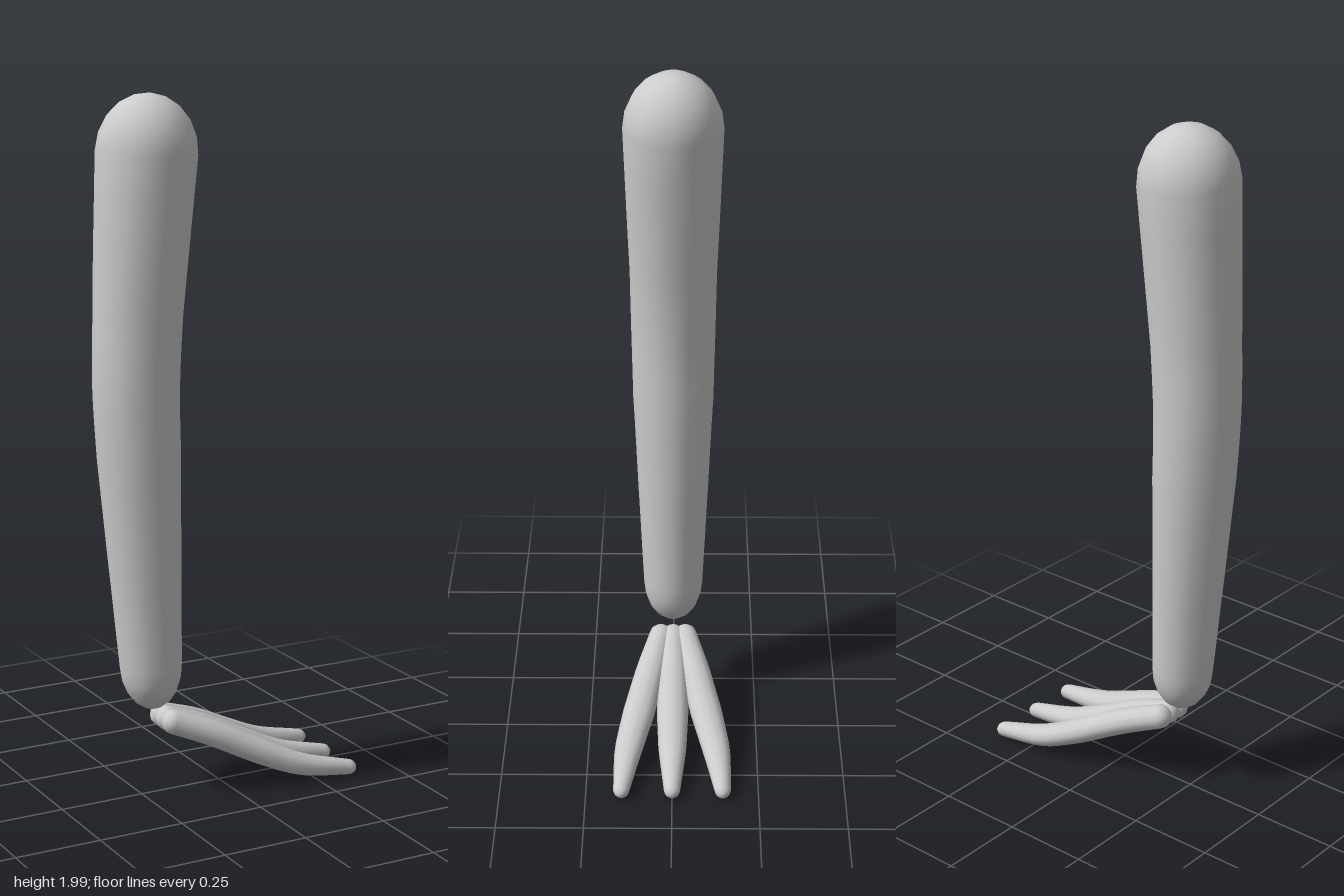
import * as THREE from 'three';
import { mergeVertices } from 'three/addons/utils/BufferGeometryUtils.js';

const material = new THREE.MeshStandardMaterial({ color: 0xcccccc });
const CAP_STEPS = 5;

// Smooth limb with rounded ends. Each station is [x, y, z, radius across, radius through].
function limb(name, stations, sides, steps, capStart, capEnd) {
  const centres = stations.map(([x, y, z]) => new THREE.Vector3(x, y, z));
  const curve = new THREE.CatmullRomCurve3(centres, false, 'centripetal');
  const last = stations.length - 1;
  const rings = [];

  const addRing = (t, shift, scale) => {
    const i = Math.min(Math.floor(t * last), last - 1);
    const f = t * last - i;
    const across = THREE.MathUtils.lerp(stations[i][3], stations[i + 1][3], f) * scale;
    const through = THREE.MathUtils.lerp(stations[i][4], stations[i + 1][4], f) * scale;
    const tangent = curve.getTangent(t);
    rings.push({ centre: curve.getPoint(t).addScaledVector(tangent, shift), tangent, across, through });
  };
  for (let k = 0; k < CAP_STEPS; k++) {
    const a = (k / CAP_STEPS) * Math.PI / 2;
    addRing(0, -capStart * Math.cos(a), Math.sin(a));
  }
  for (let k = 0; k <= steps; k++) addRing(k / steps, 0, 1);
  for (let k = 1; k <= CAP_STEPS; k++) {
    const a = (k / CAP_STEPS) * Math.PI / 2;
    addRing(1, capEnd * Math.sin(a), k === CAP_STEPS ? 0 : Math.cos(a));
  }

  const positions = [];
  const indices = [];
  const zAxis = new THREE.Vector3(0, 0, 1);
  rings.forEach(({ centre, tangent, across, through }, i) => {
    const v = new THREE.Vector3().crossVectors(tangent, zAxis).normalize();
    const u = new THREE.Vector3().crossVectors(v, tangent);
    for (let j = 0; j < sides; j++) {
      const a = (j / sides) * Math.PI * 2;
      const p = centre.clone()
        .addScaledVector(u, across * Math.cos(a))
        .addScaledVector(v, through * Math.sin(a));
      positions.push(p.x, p.y, p.z);
      if (i === rings.length - 1) continue;
      const j2 = (j + 1) % sides;
      const [p0, p1] = [i * sides + j, i * sides + j2];
      const [q0, q1] = [p0 + sides, p1 + sides];
      if (i > 0) indices.push(p0, p1, q1);
      if (i < rings.length - 2) indices.push(p0, q1, q0);
      if (i === 0) indices.push(p0, q1, q0);
    }
  });
  // the last band needs only the triangles that meet at the tip, already added above
  let geometry = new THREE.BufferGeometry();
  geometry.setAttribute('position', new THREE.Float32BufferAttribute(positions, 3));
  geometry.setIndex(indices);
  geometry = mergeVertices(geometry, 1e-5);
  geometry.computeVertexNormals();
  const mesh = new THREE.Mesh(geometry, material);
  mesh.name = name;
  return mesh;
}

export function createModel() {
  const model = new THREE.Group();
  model.name = 'birdLeg';

  // Leg: tapered, bent slightly backwards in the middle
  const leg = [
    [-0.218, 0.39, 0.088], [-0.229, 0.6, 0.098], [-0.25, 1.0, 0.117],
    [-0.257, 1.2, 0.121], [-0.25, 1.4, 0.124], [-0.22, 1.84, 0.14],
  ].map(([x, y, r]) => [x, y, 0, r, r]);
  model.add(limb('leg', leg, 16, 20, 0.125, 0.16));

  // Foot: three toes fanning out from the ankle
  const foot = new THREE.Group();
  foot.name = 'foot';
  const names = { '-1': 'rightToe', 0: 'middleToe', 1: 'leftToe' };
  names[-1] = 'backToe';
  names[1] = 'frontToe';
  for (const side of [-1, 0, 1]) {
    const toe = [
      [-0.165, 0.226, 0.037, 0.036, 0.036],
      [-0.05, 0.18, 0.066, 0.044, 0.038],
      [0.08, 0.115, 0.1, 0.047, 0.037],
      [0.2, 0.064, 0.129, 0.041, 0.033],
      [0.35, 0.034, 0.146, 0.024, 0.023],
    ].map(([x, y, z, a, b]) => [x, y, z * side, a, b]);
    foot.add(limb(names[side], toe, 12, 14, 0.034, 0.027));
  }
  model.add(foot);
  return model;
}
